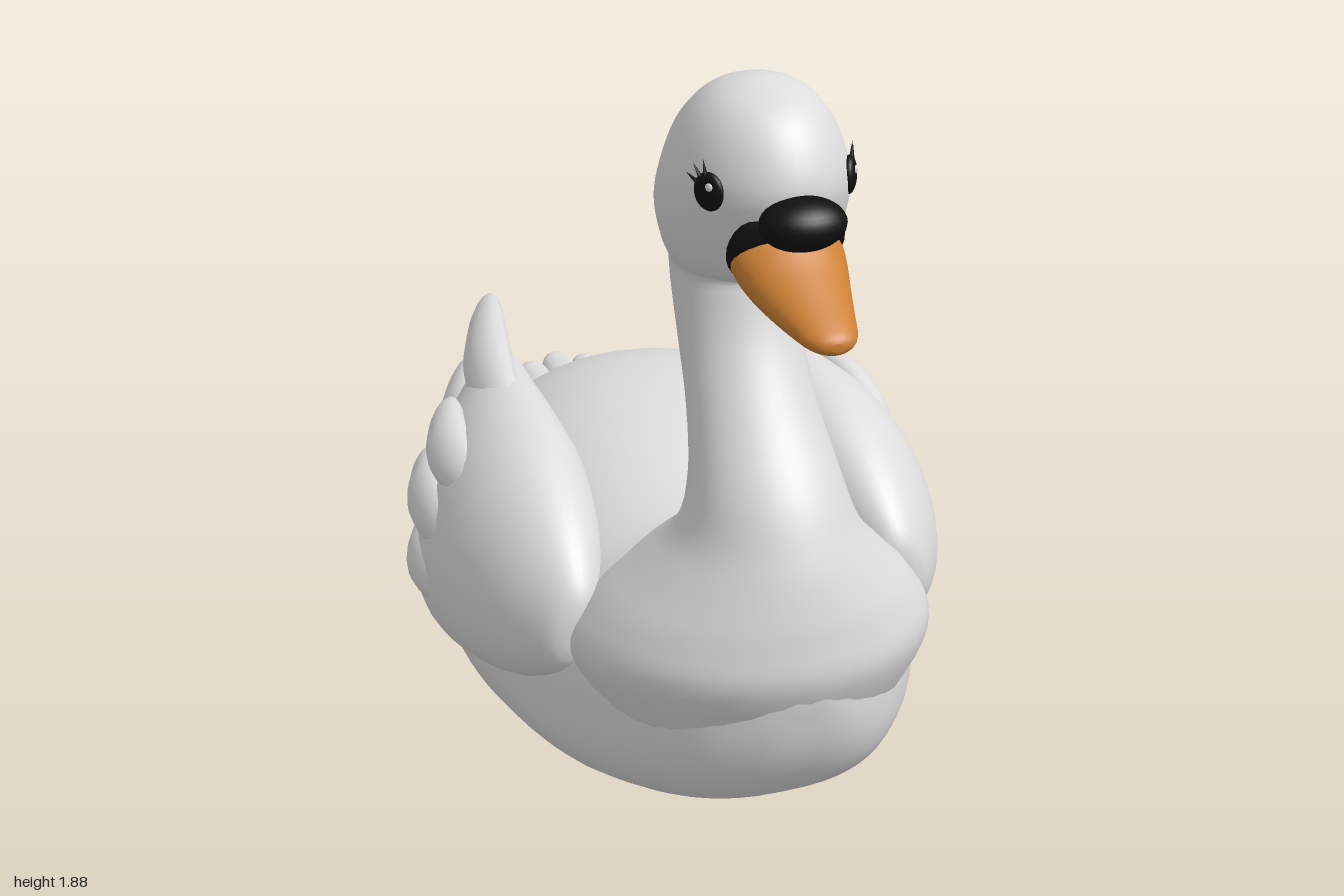
import * as THREE from 'three';

const mat = (name, color) => {
  const m = new THREE.MeshStandardMaterial({ color });
  m.name = name;
  return m;
};

// Catmull-Rom resampling of rows of section parameters
function resample(rows, steps) {
  const out = [], n = rows.length;
  for (let i = 0; i < n - 1; i++) {
    const a = rows[Math.max(i - 1, 0)], b = rows[i], c = rows[i + 1], d = rows[Math.min(i + 2, n - 1)];
    for (let k = 0; k < steps; k++) {
      const t = k / steps;
      out.push(b.map((p, j) => {
        const v0 = (c[j] - a[j]) / 2, v1 = (d[j] - p) / 2, q = c[j];
        return (2 * p - 2 * q + v0 + v1) * t ** 3 + (-3 * p + 3 * q - 2 * v0 - v1) * t * t + v0 * t + p;
      }));
    }
  }
  out.push(rows[n - 1]);
  return out;
}

// Closed smooth skin over rings; ring(row, angle) gives a point
function loft(rows, ring, sides = 32, steps = 4) {
  const secs = resample(rows, steps), pos = [], idx = [];
  secs.forEach((s) => {
    for (let j = 0; j < sides; j++) pos.push(...ring(s, (j / sides) * Math.PI * 2));
  });
  const last = secs.length - 1;
  for (let i = 0; i < last; i++) {
    for (let j = 0; j < sides; j++) {
      const a = i * sides + j, b = i * sides + (j + 1) % sides;
      idx.push(a, b, a + sides, b, b + sides, a + sides);
    }
  }
  [0, last].forEach((r) => { // end caps
    const c = [0, 0, 0], centre = pos.length / 3;
    for (let j = 0; j < sides; j++) for (let k = 0; k < 3; k++) c[k] += pos[(r * sides + j) * 3 + k] / sides;
    pos.push(...c);
    for (let j = 0; j < sides; j++) {
      const a = r * sides + j, b = r * sides + (j + 1) % sides;
      if (r === 0) idx.push(centre, b, a); else idx.push(centre, a, b);
    }
  });
  // Turn the faces outward if the enclosed volume is negative
  const P = (i) => new THREE.Vector3(pos[i * 3], pos[i * 3 + 1], pos[i * 3 + 2]);
  let volume = 0;
  for (let i = 0; i < idx.length; i += 3) volume += P(idx[i]).dot(P(idx[i + 1]).cross(P(idx[i + 2])));
  if (volume < 0) idx.reverse();
  const g = new THREE.BufferGeometry();
  g.setAttribute('position', new THREE.Float32BufferAttribute(pos, 3));
  g.setIndex(idx);
  g.computeVertexNormals();
  return g;
}

// Ring of a tilted ellipse in the xy plane: row = [z, x, y, thickness, height, tilt]
const tilted = (side) => ([z, x, y, a, b, tilt], t) => {
  const u = a * Math.cos(t), v = b * Math.sin(t), c = Math.cos(tilt), s = Math.sin(tilt);
  return [side * (x + u * c - v * s), y + u * s + v * c, z];
};

export function createModel() {
  const white = mat('white plumage', 0xdcdcdc);
  const orange = mat('orange beak', 0xcc8033);
  const black = mat('black', 0x111111);
  const root = new THREE.Group();
  root.name = 'swan';
  const add = (name, geo, material, parent = root) => {
    const m = new THREE.Mesh(geo, material);
    m.name = name;
    parent.add(m);
    return m;
  };
  const ball = (name, material, parent, at, size) => {
    const m = add(name, new THREE.SphereGeometry(1, 24, 16), material, parent);
    m.position.set(...at);
    m.scale.set(...size);
    return m;
  };

  // Body: [z, bottom, top, half width], flatter below than above
  add('body', loft([
    [0.89, 0.42, 0.5, 0.04], [0.86, 0.27, 0.62, 0.13], [0.78, 0.14, 0.72, 0.25], [0.65, 0.06, 0.75, 0.355],
    [0.5, 0.025, 0.73, 0.45], [0.35, 0.012, 0.74, 0.515], [0.1, 0, 0.84, 0.57], [-0.15, 0, 0.885, 0.58],
    [-0.4, 0.012, 0.85, 0.54], [-0.6, 0.06, 0.74, 0.43], [-0.72, 0.15, 0.65, 0.335], [-0.82, 0.27, 0.59, 0.25],
    [-0.9, 0.38, 0.57, 0.17], [-0.96, 0.5, 0.58, 0.09], [-0.98, 0.55, 0.58, 0.03],
  ], ([z, yb, yt, w], t) => {
    const c = Math.cos(t), s = Math.sin(t), mid = yb + (yt - yb) * 0.36;
    const e = s < 0 ? 0.75 : 0.95;
    return [w * Math.sign(c) * Math.abs(c) ** e, mid + (s < 0 ? (mid - yb) * -((-s) ** e) : (yt - mid) * s ** e), z];
  }, 48), white);

  // Breast, neck and head: [y, front z, back z, half width]
  add('neckAndHead', loft([
    [0.25, 0.8, 0.15, 0.36], [0.45, 0.9, 0.05, 0.46], [0.57, 0.895, 0.15, 0.41], [0.68, 0.87, 0.28, 0.31],
    [0.78, 0.835, 0.39, 0.225], [0.9, 0.775, 0.4, 0.185], [1.05, 0.66, 0.35, 0.16], [1.2, 0.565, 0.275, 0.15],
    [1.32, 0.52, 0.22, 0.148], [1.38, 0.52, 0.207, 0.15], [1.41, 0.65, 0.205, 0.17], [1.46, 0.71, 0.2, 0.195],
    [1.55, 0.745, 0.2, 0.217], [1.65, 0.775, 0.235, 0.214], [1.75, 0.74, 0.29, 0.185], [1.82, 0.68, 0.36, 0.14],
    [1.86, 0.6, 0.43, 0.085], [1.876, 0.53, 0.5, 0.015],
  ], ([y, f, b, w], t) => [w * Math.cos(t), y, (f + b) / 2 + ((f - b) / 2) * Math.sin(t)], 40), white);

  // Beak: [z, bottom, top, half width]
  add('beak', loft([
    [0.62, 1.41, 1.59, 0.12], [0.7, 1.395, 1.585, 0.137], [0.76, 1.375, 1.55, 0.128], [0.82, 1.362, 1.505, 0.11],
    [0.9, 1.352, 1.455, 0.085], [0.96, 1.35, 1.42, 0.065], [0.99, 1.355, 1.4, 0.042], [1.0, 1.365, 1.385, 0.015],
  ], ([z, b, t, w], a) => [w * Math.cos(a), (b + t) / 2 + ((t - b) / 2) * Math.sin(a), z], 28), orange);
  // Black band at the beak root, and the knob above it
  ball('beakBand', black, root, [0, 1.52, 0.695], [0.147, 0.122, 0.045]).rotation.x = 0.4;
  ball('beakKnob', black, root, [0, 1.6, 0.79], [0.105, 0.062, 0.082]);

  // Tail feathers fanned over the tail
  [[0, -1, 0.6], [0.08, -0.98, 0.59], [0.15, -0.93, 0.57], [0.21, -0.86, 0.55]].forEach(([x, z, y]) => {
    (x ? [1, -1] : [1]).forEach((side) => add('tailFeather', loft([
      [-0.64, x * 0.9, y - 0.04, 0.03, 0.02, 0], [-0.75, x, y - 0.03, 0.065, 0.045, 0],
      [z + 0.07, x, y - 0.02, 0.055, 0.045, 0], [z + 0.015, x, y, 0.035, 0.028, 0], [z, x, y, 0.008, 0.008, 0],
    ], tilted(side), 14), white));
  });

  for (const side of [1, -1]) {
    const label = side > 0 ? 'left' : 'right';
    const wing = new THREE.Group();
    wing.name = label + 'Wing';
    root.add(wing);
    // Wing mass leaning in over the back
    add('wingShell', loft([
      [0.47, 0.45, 0.49, 0.02, 0.04, 0.25], [0.44, 0.45, 0.5, 0.07, 0.12, 0.28], [0.3, 0.46, 0.525, 0.145, 0.225, 0.32],
      [0.1, 0.47, 0.555, 0.19, 0.3, 0.35], [-0.1, 0.47, 0.57, 0.19, 0.325, 0.36], [-0.3, 0.445, 0.59, 0.155, 0.31, 0.36],
      [-0.45, 0.41, 0.61, 0.11, 0.28, 0.36], [-0.56, 0.38, 0.63, 0.05, 0.22, 0.36], [-0.59, 0.37, 0.64, 0.01, 0.12, 0.36],
    ], tilted(side), 36), white, wing);
    // Long and short feathers: [start z, x, y, tip z, x, y, half thickness, half height, tilt]
    [
      ['flightFeather', 0.05, 0.42, 0.78, -0.73, 0.28, 0.92, 0.055, 0.085, 0.6],
      ['flightFeather', 0.0, 0.52, 0.68, -0.71, 0.34, 0.75, 0.055, 0.085, 0.45],
      ['flightFeather', 0.0, 0.57, 0.56, -0.66, 0.41, 0.61, 0.055, 0.08, 0.35],
      ['flightFeather', 0.0, 0.6, 0.44, -0.6, 0.45, 0.49, 0.05, 0.075, 0.3],
      ['flightFeather', 0.05, 0.6, 0.34, -0.53, 0.49, 0.37, 0.045, 0.07, 0.2],
      ['covertFeather', 0.12, 0.54, 0.7, -0.33, 0.52, 0.8, 0.05, 0.075, 0.6],
      ['covertFeather', 0.12, 0.6, 0.58, -0.32, 0.58, 0.67, 0.05, 0.08, 0.4],
      ['covertFeather', 0.12, 0.62, 0.45, -0.26, 0.61, 0.5, 0.045, 0.075, 0.25],
    ].forEach(([name, z0, x0, y0, z1, x1, y1, a, b, tilt]) => {
      const row = (u, k) => {
        const bow = 0.045 * Math.sin(Math.PI * u);
        return [z0 + (z1 - z0) * u, x0 + (x1 - x0) * u + bow, y0 + (y1 - y0) * u, a * k, b * k, tilt];
      };
      add(name, loft([row(0, 0.2), row(0.3, 0.8), row(0.6, 1), row(0.82, 0.8), row(0.95, 0.48), row(1, 0.1)],
        tilted(side), 16), white, wing);
    });

    // Eye with glint and lashes, turned to face along the head's surface
    const eye = new THREE.Group();
    eye.name = label + 'Eye';
    eye.position.set(side * 0.174, 1.655, 0.655);
    eye.rotation.y = side * 1.08;
    root.add(eye);
    ball('pupil', black, eye, [0, 0, 0], [0.043, 0.046, 0.018]);
    ball('glint', white, eye, [side * -0.012, 0.016, 0.015], [0.01, 0.01, 0.005]);
    [0.2, 0.65, 1.1].forEach((a) => {
      const lash = add('lash', new THREE.ConeGeometry(0.006, 0.04, 6), black, eye);
      lash.position.set(side * 0.055 * Math.sin(a), 0.058 * Math.cos(a), 0.004);
      lash.rotation.z = -side * a;
    });
  }
  return root;
}
